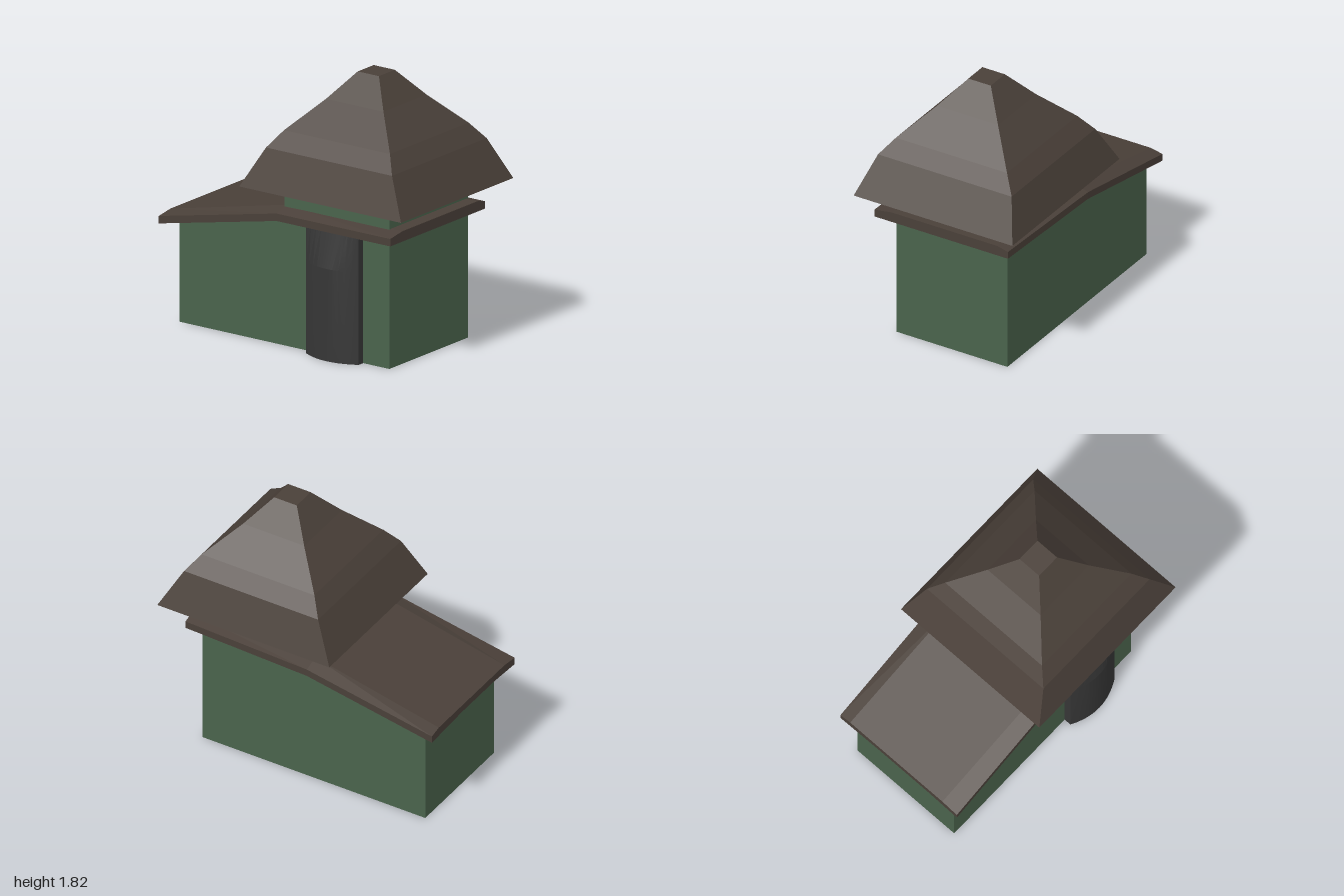
import * as THREE from 'three';
import { toCreasedNormals } from 'three/addons/utils/BufferGeometryUtils.js';

const paint = (color) => new THREE.MeshStandardMaterial({ color, flatShading: true });

// Skins a series of cross-sections; rings run counter-clockwise seen from the last one.
function loft(rings, { closed = true, startCap = false, endCap = false } = {}) {
  const tris = [];
  const n = rings[0].length;
  for (let r = 0; r < rings.length - 1; r++) {
    for (let i = 0; i < (closed ? n : n - 1); i++) {
      const j = (i + 1) % n;
      const a = rings[r][i], b = rings[r][j], c = rings[r + 1][j], d = rings[r + 1][i];
      tris.push(a, b, c, a, c, d);
    }
  }
  const fan = (ring) => {
    for (let i = 1; i < n - 1; i++) tris.push(ring[0], ring[i], ring[i + 1]);
  };
  if (startCap) fan([...rings[0]].reverse());
  if (endCap) fan(rings[rings.length - 1]);
  const geo = new THREE.BufferGeometry();
  geo.setAttribute('position', new THREE.Float32BufferAttribute(tris.flat(), 3));
  geo.computeVertexNormals();
  return geo;
}

export function createModel() {
  const group = new THREE.Group();
  const green = paint(0x4a634c), brown = paint(0x4a4039), base = paint(0x909090);
  const iron = new THREE.MeshStandardMaterial({ color: 0x363636 });
  const add = (name, geo, mat) => {
    const mesh = new THREE.Mesh(geo, mat);
    mesh.name = name;
    group.add(mesh);
    return mesh;
  };
  const centreZ = 0.35, half = 0.42;

  // Square tower with a grey underside
  add('towerBody', new THREE.BoxGeometry(half * 2, 1.07, half * 2),
    [green, green, green, base, green, green]).position.set(0, 0.535, centreZ);

  // Rear annex, its top sloping down to the back
  const annexRing = (z, top) => [[-half, 0, z], [half, 0, z], [half, top, z], [-half, top, z]];
  add('annexBody', loft([annexRing(-0.91, 0.71), annexRing(-0.07, 0.89)], { startCap: true }), green);

  // Bell-shaped tower roof: half width, half depth, height
  const roofRings = [
    [0.6, 0.648, 1.07], [0.505, 0.505, 1.335], [0.42, 0.425, 1.445],
    [0.23, 0.23, 1.645], [0.085, 0.085, 1.82],
  ].map(([w, d, y]) => [
    [w, y, centreZ + d], [w, y, centreZ - d], [-w, y, centreZ - d], [-w, y, centreZ + d],
  ]);
  add('towerRoof', loft(roofRings, { endCap: true }), brown);
  const soffit = new THREE.PlaneGeometry(1.2, 1.296).rotateX(Math.PI / 2);
  add('towerRoofSoffit', soffit, green).position.set(0, 1.07, centreZ);

  // Thin, slightly crowned lower roof: z, left edge, right edge, crown height, edge height
  const t = 0.05;
  const rows = [
    [-1, -0.525, 0.485, 0.738, 0.72],
    [-0.07, -0.505, 0.505, 0.94, 0.907],
    [0.86, -0.53, 0.48, 0.938, 0.918],
  ];
  const under = rows.map(([z, l, r, crown, edge]) => [
    [l, edge - t, z], [-0.27, crown - t, z], [0.27, crown - t, z], [r, edge - t, z],
  ]);
  const over = rows.map(([z, l, r, crown, edge]) => [
    [r, edge - t, z], [r, edge, z], [0.4, crown, z], [-0.4, crown, z], [l, edge, z], [l, edge - t, z],
  ]);
  add('lowerRoof', loft(over, { closed: false }), brown);
  add('lowerRoofSoffit', loft(under, { closed: false }), green);
  const ends = [0, 2].map((k) => [...under[k], ...over[k].slice(1, -1)]);
  add('lowerRoofBackEdge', loft([ends[0]], { startCap: true }), brown);
  add('lowerRoofFrontEdge', loft([ends[1]], { endCap: true }), brown);

  // Bowed pilaster on the side wall, its bow fading out towards the eaves
  const segments = 10, halfWidth = 0.21;
  const pilasterRing = (y, bow) => {
    const ring = [[-half, y, centreZ - halfWidth]];
    for (let i = 0; i <= segments; i++) {
      const u = (i / segments) * 2 - 1;
      ring.push([-0.47 - bow * (1 - u * u), y, centreZ + u * halfWidth]);
    }
    ring.push([-half, y, centreZ + halfWidth]);
    return ring;
  };
  const pilaster = loft([pilasterRing(0, 0.06), pilasterRing(0.62, 0.06), pilasterRing(0.89, 0)],
    { startCap: true, endCap: true });
  add('sidePilaster', toCreasedNormals(pilaster, 0.2), iron);

  return group;
}
